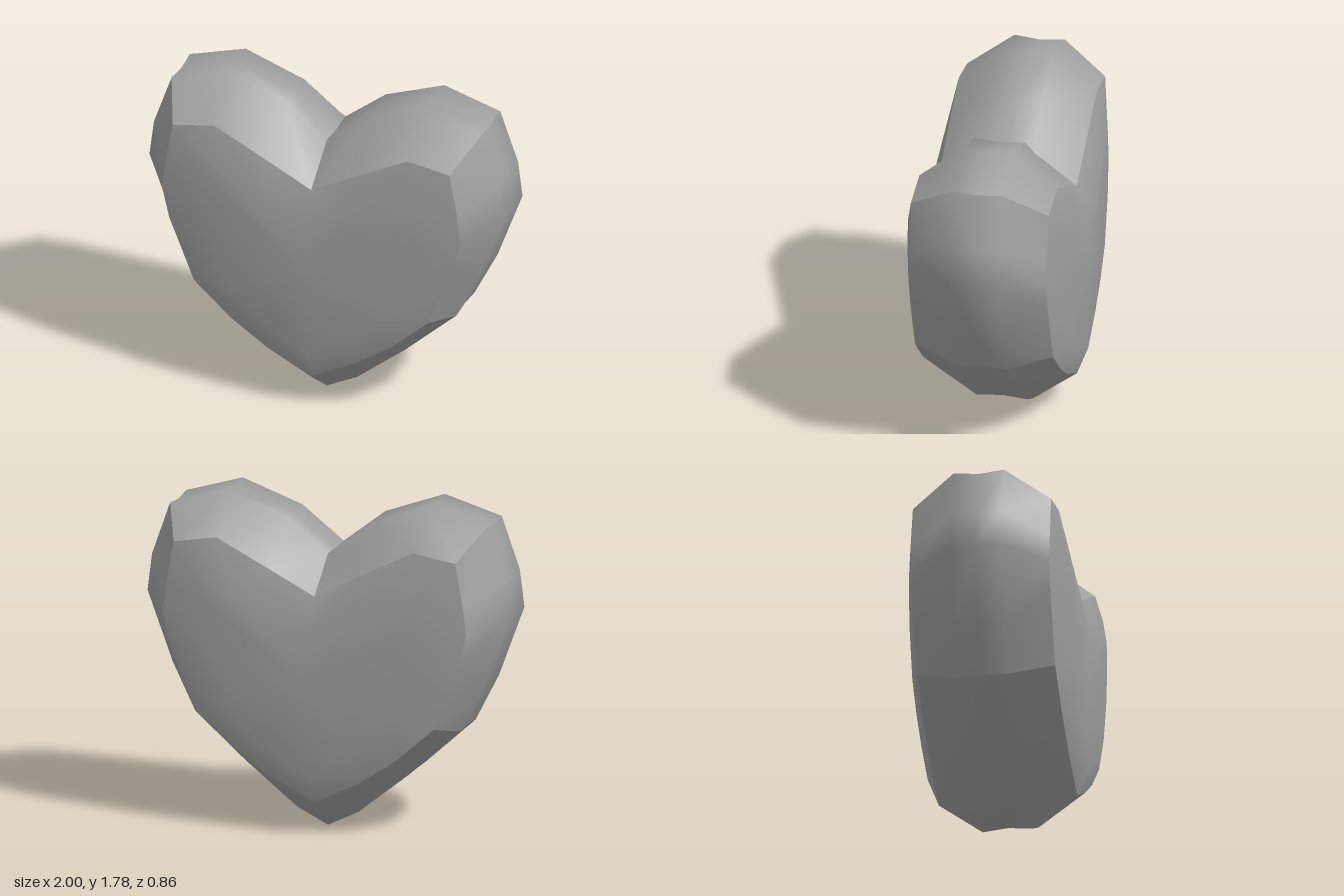
import * as THREE from 'three';
import { mergeVertices } from 'three/addons/utils/BufferGeometryUtils.js';

// Half outlines, from the bottom point round the lobe to the cleft.
const outer = [[0, 0], [0.17, 0.085], [0.45, 0.31], [0.73, 0.565], [0.86, 0.82], [1, 1.2],
  [0.975, 1.4], [0.875, 1.685], [0.56, 1.78], [0.23, 1.66], [0, 1.48]];
const rim = [[0, 0.175], [0.25, 0.305], [0.45, 0.44], [0.66, 0.628], [0.8, 0.98], [0.84, 1.155],
  [0.822, 1.3], [0.78, 1.54], [0.545, 1.58], [0.25, 1.43], [0, 1.3]];
const crown = [[0, 0.33], [0.19, 0.44], [0.34, 0.56], [0.46, 0.7], [0.54, 0.95], [0.56, 1.12],
  [0.56, 1.22], [0.55, 1.31], [0.42, 1.28], [0.23, 1.22], [0, 1.13]];
const middle = outer.map(([x, y]) => [x * 0.995, 0.9 + (y - 0.9) * 0.985]);
const centre = outer.map(() => [0, 0.8]);

const at = (points, z) => points.map(([x, y]) => [x, y, z]);
const mirror = row => row.map(([x, y, z]) => [-x, y, z]);
const fullLoop = row => [...row, ...mirror(row).reverse().slice(1)];

// Smooth patch through rows of points; its borders stay sharp.
function patch(name, rows, flip, material) {
  const n = rows[0].length;
  const index = [];
  const tri = (a, b, c) => index.push(...(flip ? [a, c, b] : [a, b, c]));
  for (let r = 0; r < rows.length - 1; r++) {
    for (let c = 0; c < n - 1; c++) {
      const a = r * n + c, b = a + n;
      tri(a, b, a + 1);
      tri(b, b + 1, a + 1);
    }
  }
  let geometry = new THREE.BufferGeometry();
  geometry.setAttribute('position', new THREE.Float32BufferAttribute(rows.flat(2), 3));
  geometry.setIndex(index);
  geometry = mergeVertices(geometry);
  geometry.computeVertexNormals();
  const mesh = new THREE.Mesh(geometry, material);
  mesh.name = name;
  return mesh;
}

export function createModel() {
  const heart = new THREE.Group();
  heart.name = 'heart';
  const grey = new THREE.MeshStandardMaterial({ color: 0xa0a0a0 });
  grey.name = 'grey';

  // Domed front and back faces
  for (const s of [1, -1]) {
    const rows = [at(rim, 0.37 * s), at(crown, 0.43 * s), at(centre, 0.43 * s)].map(fullLoop);
    heart.add(patch(s > 0 ? 'frontFace' : 'backFace', rows, s > 0, grey));
  }

  // Bevelled band round the edge, in three smooth sections on each side
  const band = [at(rim, 0.37), at(outer, 0.135), at(middle, 0), at(outer, -0.135), at(rim, -0.37)];
  const sections = { Underside: [0, 3], Flank: [3, 7], Lobe: [7, 10] };
  for (const [name, [from, to]] of Object.entries(sections)) {
    const rows = band.map(row => row.slice(from, to + 1));
    heart.add(patch('left' + name, rows, false, grey));
    heart.add(patch('right' + name, rows.map(mirror), true, grey));
  }
  return heart;
}
